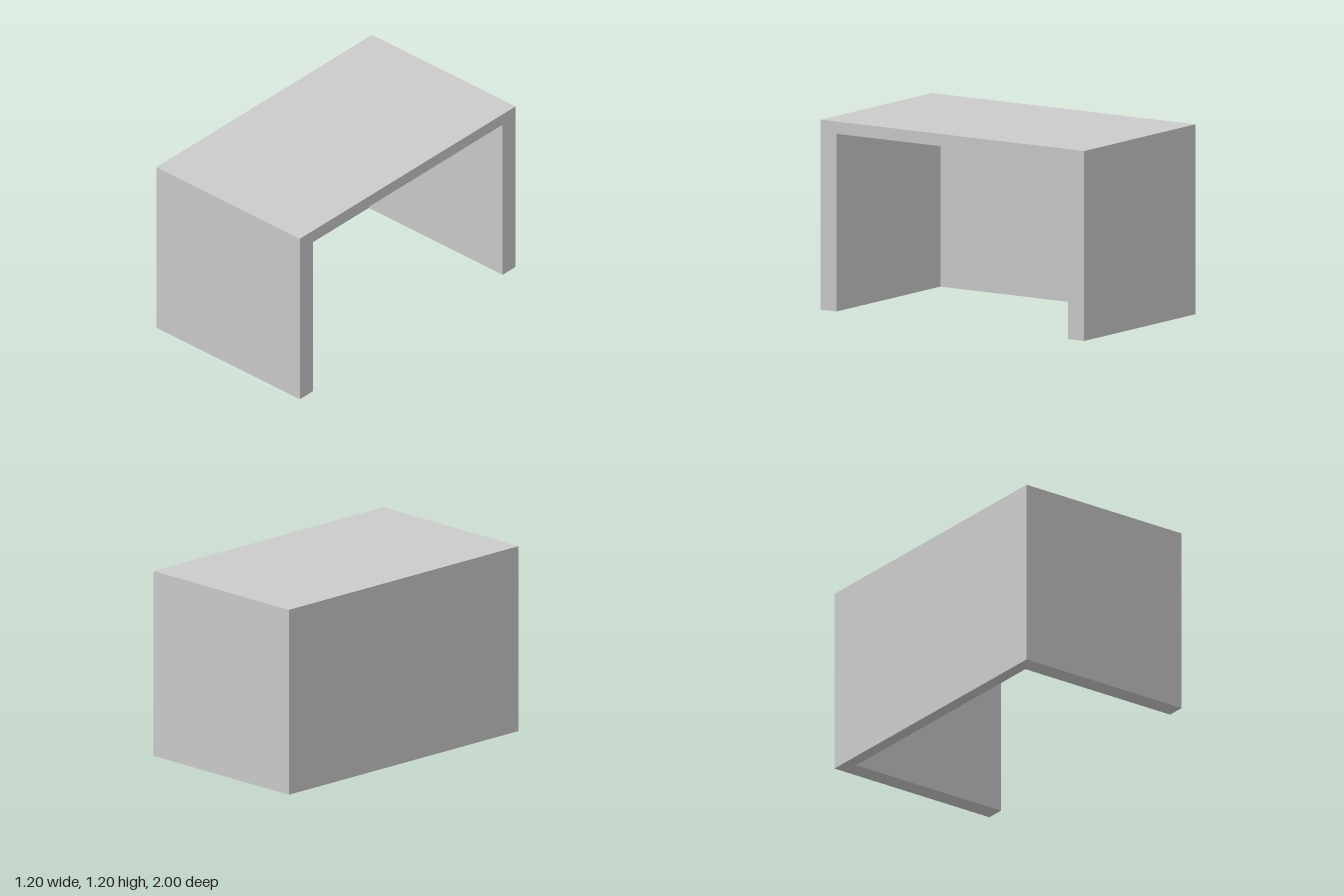
import * as THREE from 'three';

const WIDTH = 1.2, HEIGHT = 1.197, LENGTH = 2;
const END = 0.12, TOP = 0.077, BACK = 0.08; // panel thicknesses

export function createModel() {
  const group = new THREE.Group();
  const material = new THREE.MeshStandardMaterial({ color: 0xcccccc, flatShading: true });

  // Top panel and two end walls as one U-shaped section, open at the bottom and the +x side
  const h = LENGTH / 2, inner = h - END, under = HEIGHT - TOP;
  const section = new THREE.Shape([
    [-h, 0], [-inner, 0], [-inner, under], [inner, under],
    [inner, 0], [h, 0], [h, HEIGHT], [-h, HEIGHT],
  ].map(([x, y]) => new THREE.Vector2(x, y)));
  const shellGeometry = new THREE.ExtrudeGeometry(section, { depth: WIDTH - BACK, bevelEnabled: false });
  shellGeometry.rotateY(Math.PI / 2).translate(-WIDTH / 2 + BACK, 0, 0);
  const shell = new THREE.Mesh(shellGeometry, material);
  shell.name = 'topAndEndWalls';
  group.add(shell);

  // Closed long wall on the -x side
  const wall = new THREE.Mesh(new THREE.BoxGeometry(BACK, HEIGHT, LENGTH), material);
  wall.position.set(-WIDTH / 2 + BACK / 2, HEIGHT / 2, 0);
  wall.name = 'longWall';
  group.add(wall);

  return group;
}
